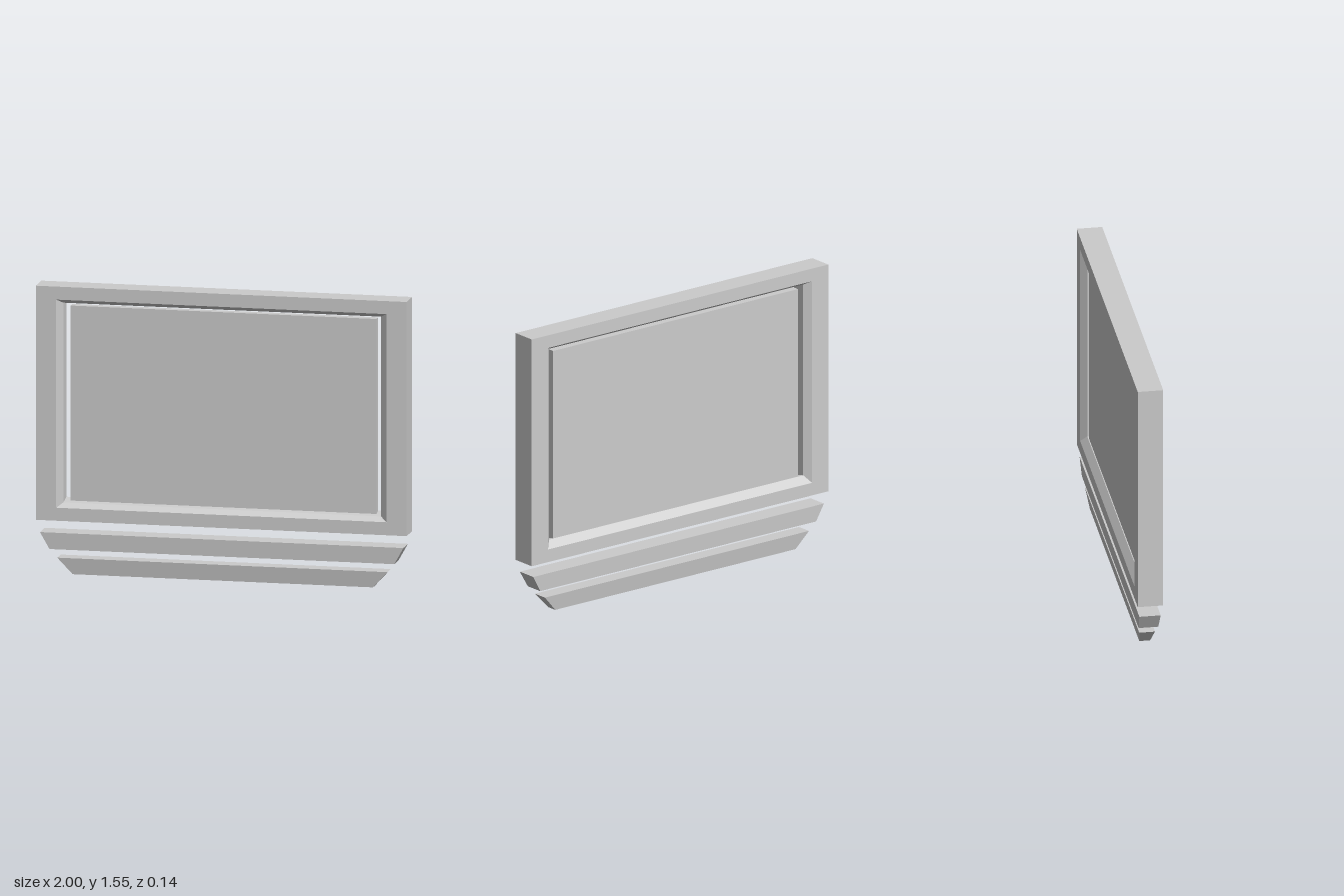
import * as THREE from 'three';

const material = new THREE.MeshStandardMaterial({ color: 0xcccccc, flatShading: true });

// Skins a list of four-cornered rings; closed joins the last to the first, otherwise the ends are capped.
function loft(rings, closed) {
  const pos = [];
  const quad = (a, b, c, d) => pos.push(...a, ...b, ...c, ...a, ...c, ...d);
  const n = rings.length;
  for (let i = 0; i < (closed ? n : n - 1); i++) {
    const a = rings[i], b = rings[(i + 1) % n];
    for (let j = 0; j < 4; j++) {
      const k = (j + 1) % 4;
      quad(a[j], a[k], b[k], b[j]);
    }
  }
  if (!closed) {
    quad(...[...rings[0]].reverse());
    quad(...rings[n - 1]);
  }
  const geometry = new THREE.BufferGeometry();
  geometry.setAttribute('position', new THREE.Float32BufferAttribute(pos, 3));
  geometry.computeVertexNormals();
  return geometry;
}

// Upright rectangle ring at depth z
const uprightRing = (z, w, bottom, top) =>
  [[-w, bottom, z], [w, bottom, z], [w, top, z], [-w, top, z]];

// Level rectangle ring at height y
const levelRing = (y, w, front, back) =>
  [[-w, y, front], [w, y, front], [w, y, back], [-w, y, back]];

export function createModel() {
  const group = new THREE.Group();
  const add = (name, geometry) => {
    const mesh = new THREE.Mesh(geometry, material);
    mesh.name = name;
    group.add(mesh);
    return mesh;
  };

  // Frame with an opening bevelled from both faces and a sill that rises to the panel
  add('frame', loft([
    uprightRing(0.068, 1, 0.295, 1.555),
    uprightRing(0.068, 0.89, 0.365, 1.485),
    uprightRing(0.044, 0.857, 0.39, 1.465),
    uprightRing(-0.035, 0.857, 0.405, 1.465),
    uprightRing(-0.068, 0.89, 0.365, 1.485),
    uprightRing(-0.068, 1, 0.295, 1.555),
  ], true));

  // Panel standing on the sill, with a gap at the sides and top
  add('panel', new THREE.BoxGeometry(1.65, 1.05, 0.044)).position.set(0, 0.92, -0.008);

  // Two tapered bars floating below the frame
  add('upperBar', loft([
    levelRing(0.138, 0.93, 0.053, -0.052),
    levelRing(0.228, 0.98, 0.058, -0.056),
  ], false));
  add('lowerBar', loft([
    levelRing(0.003, 0.81, 0.029, -0.029),
    levelRing(0.091, 0.89, 0.042, -0.042),
  ], false));

  return group;
}
